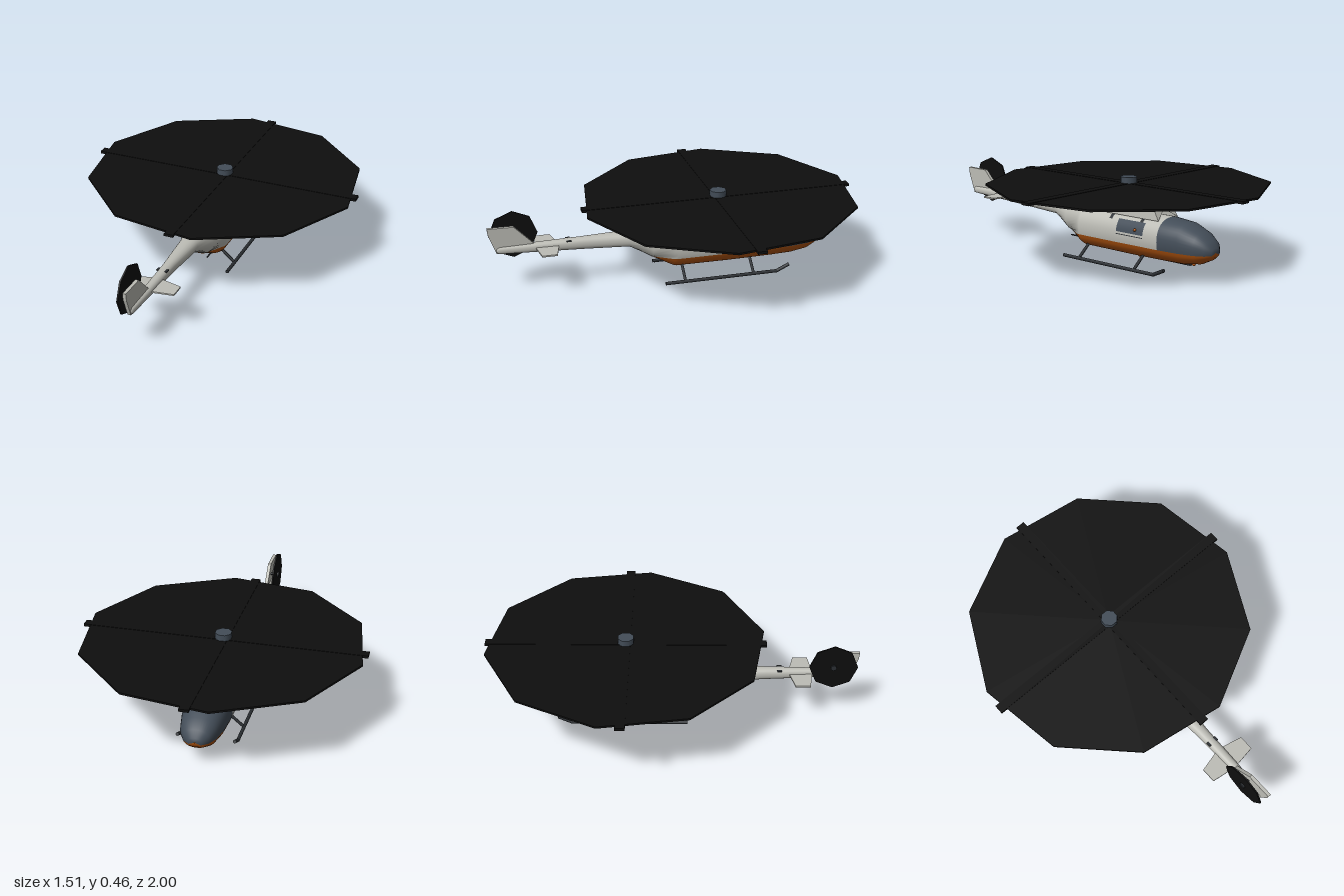
import * as THREE from 'three';

const mat = (name, color, side = THREE.FrontSide) => {
  const m = new THREE.MeshStandardMaterial({ color, side });
  m.name = name;
  return m;
};

export function createModel() {
  const group = new THREE.Group();
  const grey = mat('light grey paint', 0xbdbdb6, THREE.DoubleSide);
  const orange = mat('orange paint', 0xb4560f, THREE.DoubleSide);
  const glass = mat('slate glass', 0x434d58, THREE.DoubleSide);
  const black = mat('rotor black', 0x0e0e0e);
  const dark = mat('dark metal', 0x2b2f33);

  const add = (name, geo, material, x = 0, y = 0, z = 0) => {
    const m = new THREE.Mesh(geo, material);
    m.name = name;
    m.position.set(x, y, z);
    group.add(m);
    return m;
  };

  // Skin over rows of points
  const loft = (rows, flat = false) => {
    const n = rows[0].length, index = [];
    for (let i = 0; i < rows.length - 1; i++)
      for (let j = 0; j < n - 1; j++) {
        const a = i * n + j, b = a + 1, c = a + n, d = c + 1;
        index.push(a, b, c, b, d, c);
      }
    let g = new THREE.BufferGeometry();
    g.setAttribute('position', new THREE.Float32BufferAttribute(rows.flat(2), 3));
    g.setIndex(index);
    if (flat) g = g.toNonIndexed();
    g.computeVertexNormals();
    return g;
  };

  // Rod between two points
  const rod = (name, a, b, r, material) => {
    const p = new THREE.Vector3(...a), q = new THREE.Vector3(...b);
    const d = q.clone().sub(p);
    const m = add(name, new THREE.CylinderGeometry(r, r, d.length(), 8), material);
    m.position.copy(p).add(q).multiplyScalar(0.5);
    m.quaternion.setFromUnitVectors(new THREE.Vector3(0, 1, 0), d.normalize());
  };

  // Fuselage stations: z, top, bottom, half width
  const stations = [
    [-0.826, 0.143, 0.141, 0.002], [-0.825, 0.165, 0.118, 0.035], [-0.80, 0.2, 0.098, 0.068],
    [-0.75, 0.237, 0.074, 0.094], [-0.66, 0.274, 0.06, 0.112], [-0.54, 0.285, 0.057, 0.119],
    [-0.3, 0.286, 0.055, 0.121], [0, 0.285, 0.057, 0.12], [0.02, 0.285, 0.064, 0.117],
    [0.13, 0.281, 0.122, 0.087], [0.25, 0.275, 0.191, 0.05], [0.5, 0.27, 0.202, 0.031],
    [0.94, 0.263, 0.222, 0.019], [0.955, 0.255, 0.23, 0.012], [0.957, 0.243, 0.242, 0.001],
  ];
  const P = 0.88, CHINE = 0.13;
  const pw = v => Math.sign(v) * Math.abs(v) ** P;
  const angleAt = ([, top, bot], y) => {
    const s = THREE.MathUtils.clamp((2 * y - top - bot) / (top - bot), -1, 1);
    return Math.asin(Math.sign(s) * Math.abs(s) ** (1 / P));
  };
  const arc = (st, a0, a1, n, grow = 0) => Array.from({ length: n + 1 }, (_, i) => {
    const [z, top, bot, w] = st, t = a0 + (a1 - a0) * i / n;
    return [(w + grow) * pw(Math.cos(t)), (top + bot) / 2 + ((top - bot) / 2 + grow) * pw(Math.sin(t)), z];
  });
  const upper = st => { const a = angleAt(st, CHINE); return arc(st, a, Math.PI - a, 24); };
  const lower = st => { const a = angleAt(st, CHINE); return arc(st, Math.PI - a, 2 * Math.PI + a, 16); };
  add('cockpitGlass', loft(stations.slice(0, 6).map(upper)), glass);
  add('cabinAndTailBoom', loft(stations.slice(5).map(upper)), grey);
  add('belly', loft(stations.slice(0, 10).map(lower)), orange);

  // Cabin windows and vents wrapped onto the side
  const patch = (name, z0, z1, y0, y1, material) => {
    for (const s of [1, -1]) {
      const rows = [z0, z1].map(z => {
        const st = [z, 0.286, 0.055, 0.121];
        return arc(st, angleAt(st, y0), angleAt(st, y1), 6, 0.003).map(([x, y, q]) => [s * x, y, q]);
      });
      add(name, loft(rows), material);
    }
  };
  patch('cabinWindow', -0.45, -0.27, 0.19, 0.252, glass);
  patch('sideVent', -0.225, -0.205, 0.245, 0.268, dark);
  patch('doorLatch', -0.43, -0.41, 0.252, 0.27, dark);
  patch('slidingDoorRail', -0.45, -0.27, 0.176, 0.18, dark);

  // Engine cowling: half section points mirrored across x
  const cowlRow = half => [...half, ...half.slice().reverse().map(([x, y, z]) => [-x, y, z])];
  const front = cowlRow([[0.08, 0.27, -0.52], [0.075, 0.32, -0.49], [0.058, 0.38, -0.455]]);
  const middle = cowlRow([[0.084, 0.27, 0.04], [0.079, 0.32, 0.04], [0.06, 0.38, 0.04]]);
  const rear = cowlRow([[0.07, 0.27, 0.1], [0.066, 0.325, 0.205], [0.05, 0.335, 0.21]]);
  add('engineCowling', loft([
    front.map(() => [0, 0.32, -0.49]), front, middle, rear, rear.map(() => [0, 0.31, 0.17]),
  ], true), grey);

  // Main rotor
  const RZ = -0.25;
  add('mainRotorDisc', new THREE.CylinderGeometry(0.75, 0.75, 0.01, 10, 1, false, Math.PI / 20), black, 0, 0.422, RZ);
  add('mainBladePair', new THREE.BoxGeometry(0.05, 0.014, 1.5), black, 0, 0.422, RZ);
  add('mainBladePair', new THREE.BoxGeometry(1.51, 0.014, 0.05), black, 0, 0.422, RZ);
  add('rotorHub', new THREE.CylinderGeometry(0.045, 0.045, 0.066, 8, 1, false, Math.PI / 8).toNonIndexed(), glass, 0, 0.428, RZ);
  add('rotorMast', new THREE.CylinderGeometry(0.018, 0.018, 0.05, 8), dark, 0, 0.385, RZ);

  // Tail fin
  const finShape = new THREE.Shape([
    [0.75, 0.255], [0.86, 0.368], [1, 0.37], [0.995, 0.33], [0.955, 0.225], [0.9, 0.225],
  ].map(p => new THREE.Vector2(...p)));
  const fin = new THREE.ExtrudeGeometry(finShape, { depth: 0.018, bevelEnabled: false });
  fin.translate(0, 0, -0.009).rotateY(-Math.PI / 2);
  add('tailFin', fin, grey);

  // Horizontal stabilizer
  const stabShape = new THREE.Shape([
    [0, 0.625], [0.03, 0.63], [0.135, 0.655], [0.135, 0.735], [0.03, 0.75],
    [-0.03, 0.75], [-0.135, 0.735], [-0.135, 0.655], [-0.03, 0.63],
  ].map(p => new THREE.Vector2(...p)));
  const stab = new THREE.ExtrudeGeometry(stabShape, { depth: 0.008, bevelEnabled: false });
  stab.rotateX(Math.PI / 2);
  add('horizontalStabilizer', stab, grey, 0, 0.244, 0);

  // Tail rotor
  const tailDisc = new THREE.CylinderGeometry(0.13, 0.13, 0.008, 8).rotateZ(Math.PI / 2);
  add('tailRotorDisc', tailDisc, black, -0.045, 0.306, 0.86);
  const tailHub = new THREE.CylinderGeometry(0.016, 0.016, 0.026, 8).rotateZ(Math.PI / 2);
  add('tailRotorHub', tailHub, dark, -0.045, 0.306, 0.86);
  rod('tailRotorShaft', [-0.04, 0.306, 0.86], [0, 0.306, 0.86], 0.007, dark);

  // Landing skids
  for (const s of [1, -1]) {
    rod('skidTube', [s * 0.15, 0.01, 0.08], [s * 0.15, 0.01, -0.55], 0.0095, dark);
    rod('skidToe', [s * 0.15, 0.01, -0.547], [s * 0.15, 0.043, -0.617], 0.0095, dark);
    for (const z of [-0.03, -0.415])
      rod('skidStrut', [s * 0.07, 0.078, z], [s * 0.15, 0.01, z], 0.008, dark);
    add('sideLight', new THREE.SphereGeometry(0.008, 10, 8), orange, s * 0.124, 0.215, -0.4);
    rod('rearStep', [s * 0.05, 0.1, 0.05], [s * 0.05, 0.1, 0.12], 0.004, dark);
  }

  // Beacons and aerials
  for (const [y, z] of [[0.39, 0.095], [0.052, -0.33], [0.062, -0.69]])
    add('beacon', new THREE.SphereGeometry(0.01, 10, 8), orange, 0, y, z);
  rod('beaconStalk', [0, 0.35, 0.095], [0, 0.385, 0.095], 0.004, dark);
  add('boomAerial', new THREE.BoxGeometry(0.06, 0.005, 0.025), dark, 0, 0.262, 0.575);

  return group;
}
